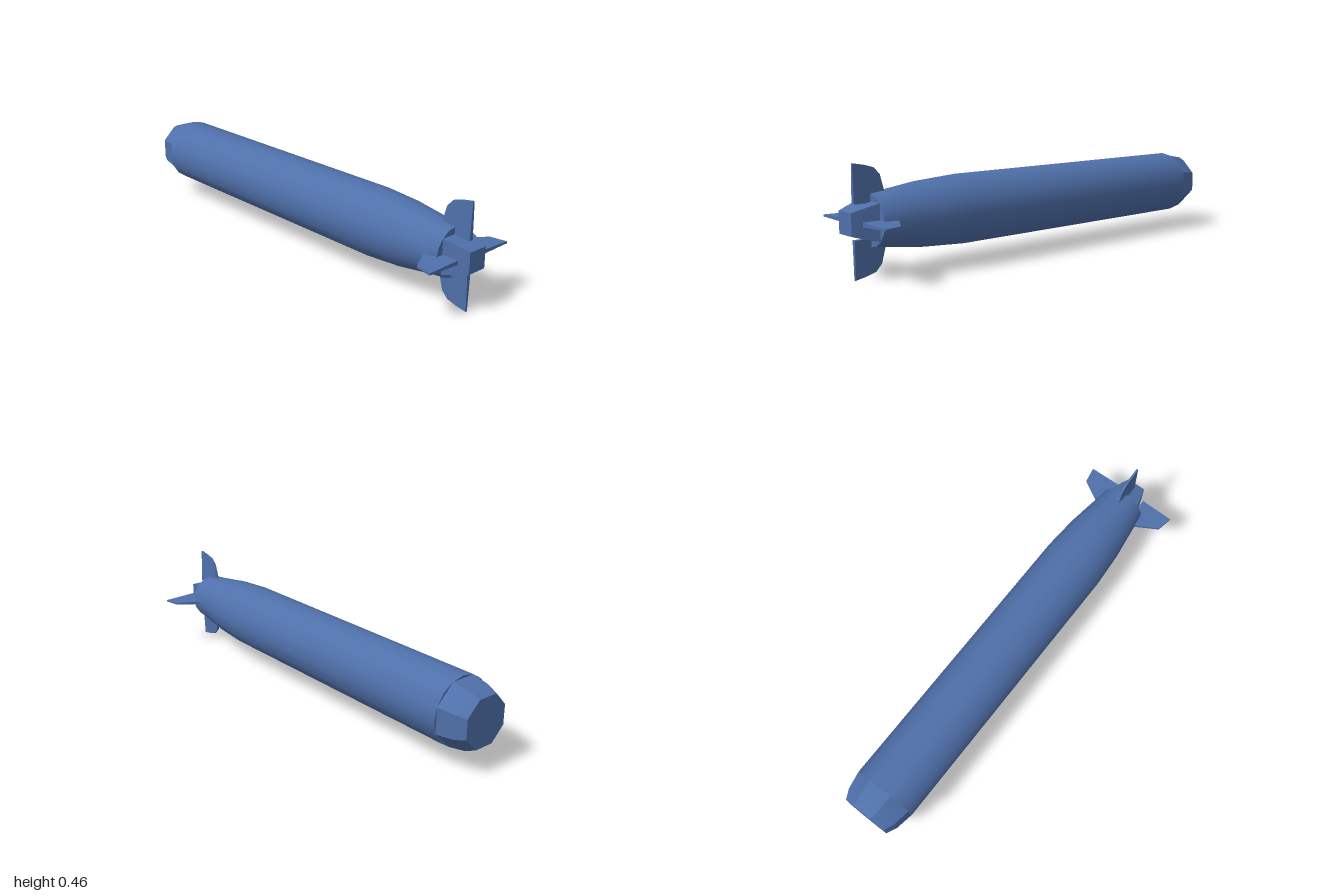
import * as THREE from 'three';
import { toCreasedNormals } from 'three/addons/utils/BufferGeometryUtils.js';

const AXIS_HEIGHT = 0.228;

// Solid of revolution along x, from [x, radius] pairs
function turned(profile, sides, phase = 0) {
  const points = profile.map(([x, r]) => new THREE.Vector2(r, x));
  const geometry = new THREE.LatheGeometry(points, sides, phase).rotateZ(-Math.PI / 2);
  return toCreasedNormals(geometry, 0.5);
}

// Plate from [x, distance from axis] pairs, thinning towards the tip
function finPlate(outline) {
  const shape = new THREE.Shape(outline.map(([x, y]) => new THREE.Vector2(x, y)));
  const geometry = new THREE.ExtrudeGeometry(shape, { depth: 2, bevelEnabled: false });
  geometry.translate(0, 0, -1);
  const p = geometry.attributes.position;
  for (let i = 0; i < p.count; i++) {
    const t = (p.getY(i) - 0.07) / 0.158;
    p.setZ(i, p.getZ(i) * THREE.MathUtils.lerp(0.009, 0.004, t));
  }
  geometry.computeVertexNormals();
  return toCreasedNormals(geometry, 0.5);
}

export function createModel() {
  const model = new THREE.Group();
  model.name = 'torpedo';
  const blue = new THREE.MeshStandardMaterial({ color: 0x4f70aa });
  blue.name = 'steel blue';

  const add = (name, geometry) => {
    const mesh = new THREE.Mesh(geometry, blue);
    mesh.name = name;
    mesh.position.y = AXIS_HEIGHT;
    model.add(mesh);
    return mesh;
  };

  // Sixteen-sided hull tapering to the tail
  add('hull', turned([
    [-0.877, 0], [-0.877, 0.149], [0.48, 0.149], [0.65, 0.138],
    [0.82, 0.115], [0.892, 0.107], [0.892, 0],
  ], 16));

  // Eight-sided blunt nose
  add('nose', turned([
    [-1, 0], [-1, 0.113], [-0.955, 0.135], [-0.877, 0.149], [-0.87, 0],
  ], 8, Math.PI / 8));

  // Four-sided tail block
  add('tailBlock', turned([
    [0.88, 0], [0.89, 0.107], [0.955, 0.083], [1, 0.064], [1, 0],
  ], 4, Math.PI / 4));

  // Four tail fins; the upright pair has a rounder leading edge
  const upright = finPlate([
    [0.965, 0.07], [0.965, 0.228], [0.915, 0.219], [0.872, 0.207],
    [0.845, 0.178], [0.828, 0.112], [0.85, 0.07],
  ]);
  const level = finPlate([
    [0.965, 0.07], [0.965, 0.228], [0.89, 0.214], [0.832, 0.112], [0.85, 0.07],
  ]);
  ['topFin', 'leftFin', 'bottomFin', 'rightFin'].forEach((name, i) => {
    add(name, i % 2 ? level : upright).rotation.x = i * Math.PI / 2;
  });

  return model;
}
